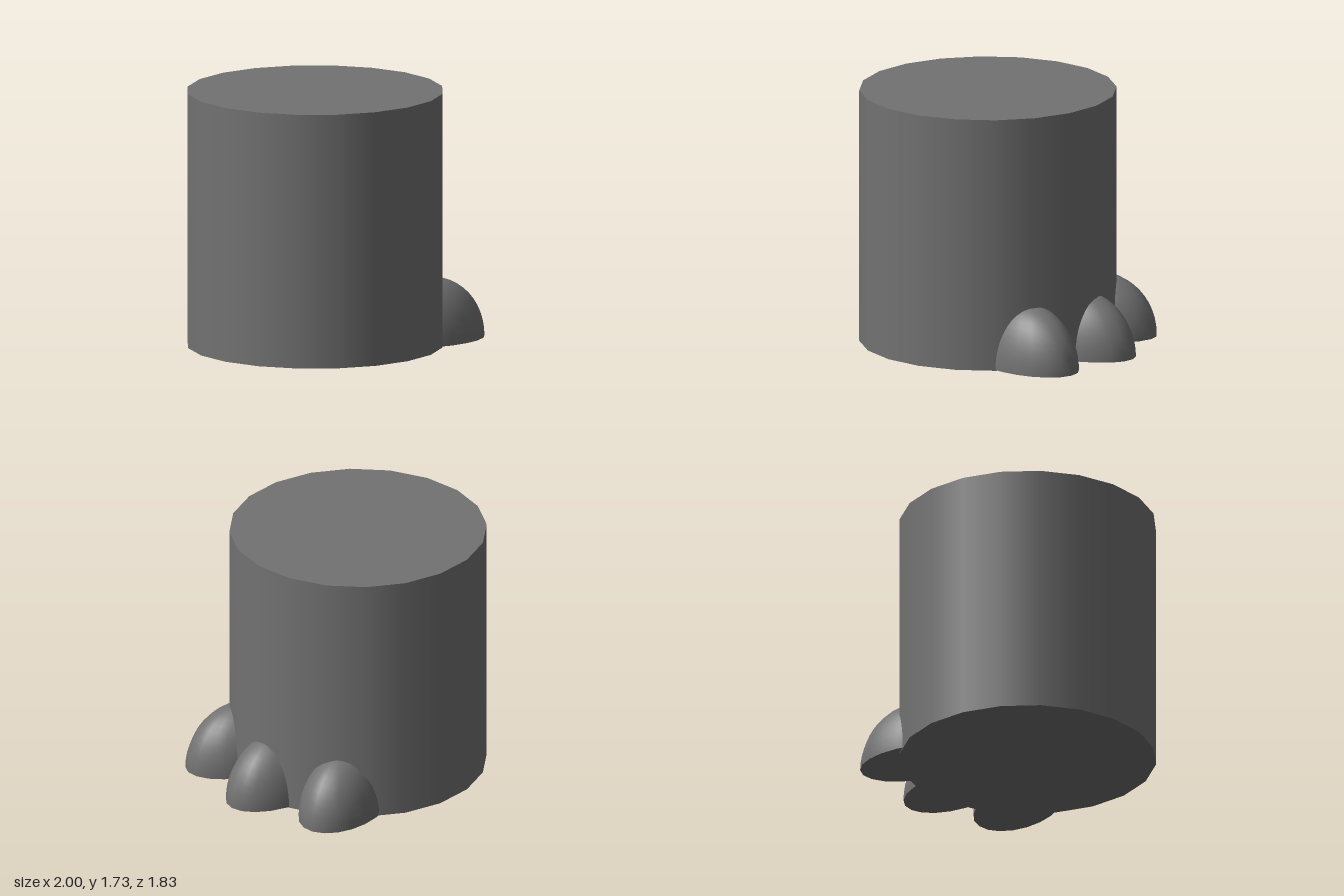
import * as THREE from 'three';

export function createModel() {
  const model = new THREE.Group();
  const material = new THREE.MeshStandardMaterial({ color: 0x727272 });

  // Thick round leg with 20 smooth-shaded sides
  const leg = new THREE.Mesh(new THREE.CylinderGeometry(0.861, 0.861, 1.727, 20), material);
  leg.name = 'leg';
  leg.position.set(-0.139, 0.8635, 0.053);
  model.add(leg);

  // Toenails: half ellipsoids with flat undersides, fanned around the foot
  const dome = new THREE.SphereGeometry(1, 20, 12, 0, Math.PI * 2, 0, Math.PI / 2);
  const base = new THREE.CircleGeometry(1, 20).rotateX(Math.PI / 2);
  const nails = [
    // name, x, z, turn in degrees, half width
    ['frontToenail', 0.6, 0.306, 6, 0.255],
    ['middleToenail', 0.542, -0.193, 20, 0.25],
    ['backToenail', 0.225, -0.604, 37, 0.257],
  ];
  for (const [name, x, z, degrees, halfWidth] of nails) {
    const nail = new THREE.Group();
    nail.name = name;
    const nailDome = new THREE.Mesh(dome, material);
    nailDome.name = 'nailDome';
    const underside = new THREE.Mesh(base, material);
    underside.name = 'nailUnderside';
    nail.add(nailDome, underside);
    nail.scale.set(0.4, 0.422, halfWidth);
    nail.rotation.y = THREE.MathUtils.degToRad(degrees);
    nail.position.set(x, 0.006, z);
    model.add(nail);
  }
  return model;
}
